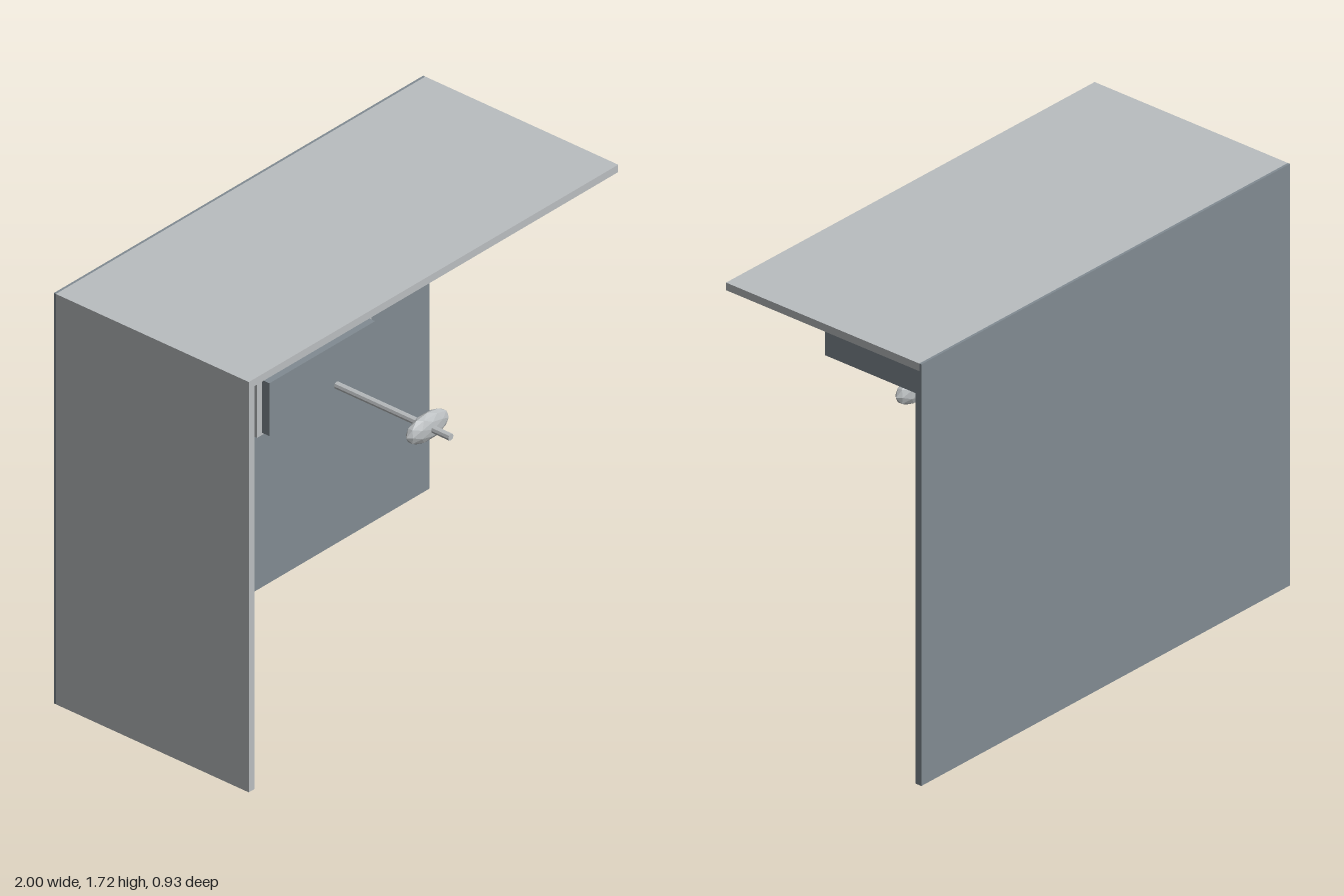
import * as THREE from 'three';

export function createModel() {
  const model = new THREE.Group();
  model.name = 'equippedBooth';

  const lightGrey = new THREE.MeshStandardMaterial({ color: 0xbabec0 });
  lightGrey.name = 'light grey';
  const slateGrey = new THREE.MeshStandardMaterial({ color: 0x818b92 });
  slateGrey.name = 'slate grey';

  function add(name, geometry, material, parent = model) {
    const mesh = new THREE.Mesh(geometry, material);
    mesh.name = name;
    parent.add(mesh);
    return mesh;
  }

  // Box given by its limits on each axis
  function box(name, [x0, x1], [y0, y1], [z0, z1], material, parent) {
    const geometry = new THREE.BoxGeometry(x1 - x0, y1 - y0, z1 - z0);
    geometry.translate((x0 + x1) / 2, (y0 + y1) / 2, (z0 + z1) / 2);
    return add(name, geometry, material, parent);
  }

  // Faceted rod running along z
  function rod(name, x, y, [z0, z1], radius, material, parent) {
    const geometry = new THREE.CylinderGeometry(radius, radius, z1 - z0, 8).toNonIndexed();
    geometry.computeVertexNormals();
    geometry.rotateX(Math.PI / 2);
    geometry.translate(x, y, (z0 + z1) / 2);
    return add(name, geometry, material, parent);
  }

  function group(name) {
    const g = new THREE.Group();
    g.name = name;
    model.add(g);
    return g;
  }

  // Shell: back wall in two layers, so the roof and side wall lap over the inner one
  const shell = group('shell');
  box('backWallOuter', [-1, 1], [0, 1.717], [-0.465, -0.455], slateGrey, shell);
  box('backWallInner', [-0.968, 1], [0, 1.686], [-0.455, -0.436], slateGrey, shell);
  box('sideWall', [-1, -0.968], [0, 1.686], [-0.455, 0.465], lightGrey, shell);
  box('roof', [-1, 1], [1.686, 1.717], [-0.455, 0.465], lightGrey, shell);

  // Units under the roof
  box('overheadCabinet', [0.577, 0.903], [1.52, 1.655], [-0.436, 0.08], slateGrey);
  const display = group('overheadDisplay');
  box('displayPanel', [-0.842, -0.57], [1.467, 1.62], [-0.16, -0.123], lightGrey, display);
  box('displayMount', [-0.787, -0.622], [1.52, 1.655], [-0.436, -0.16], lightGrey, display);
  box('smallWallUnit', [-0.495, -0.375], [1.527, 1.612], [-0.436, -0.3], slateGrey);

  // Small panel on a thin arm
  const sidePanel = group('sidePanel');
  box('sidePanelPlate', [-0.535, -0.33], [0.875, 1.018], [-0.132, -0.114], lightGrey, sidePanel);
  rod('sidePanelArm', -0.43, 0.947, [-0.405, -0.132], 0.009, slateGrey, sidePanel);

  // Central console with a raised front plate
  const consoleUnit = group('console');
  box('consoleBody', [-0.2, 0.42], [0.853, 1.092], [-0.255, -0.2], lightGrey, consoleUnit);
  box('consoleFace', [-0.174, 0.398], [0.863, 1.084], [-0.2, -0.164], slateGrey, consoleUnit);

  // Shaft and its flattened, faceted knob
  const control = group('controlShaft');
  rod('shaft', 0.111, 0.975, [-0.095, 0.45], 0.014, lightGrey, control);
  const knobGeometry = new THREE.IcosahedronGeometry(1, 1);
  knobGeometry.scale(0.113, 0.057, 0.033);
  knobGeometry.computeVertexNormals();
  add('knob', knobGeometry, lightGrey, control).position.set(0.111, 0.975, 0.337);

  return model;
}
